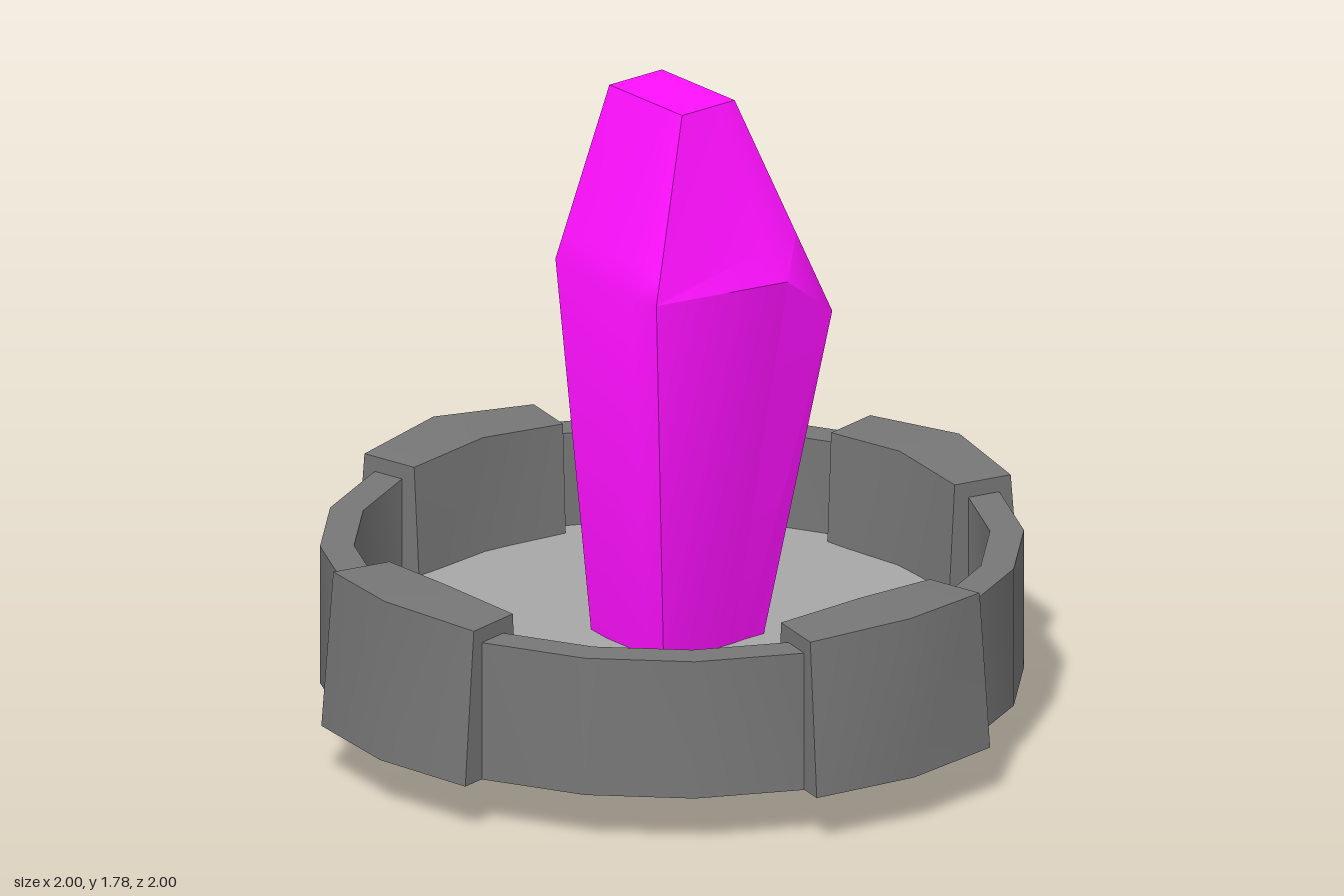
import * as THREE from 'three';
import { toCreasedNormals } from 'three/addons/utils/BufferGeometryUtils.js';

const SIDES = 20;

function part(name, geometry, material, crease = 0.5) {
  const mesh = new THREE.Mesh(toCreasedNormals(geometry, crease), material);
  mesh.name = name;
  return mesh;
}

// Bent, slightly tapered cover that wraps over the ring, facing +z, open below.
function clampGeometry() {
  const geometry = new THREE.BoxGeometry(2, 2, 2, 2, 1, 1);
  const pos = geometry.attributes.position;
  for (let i = 0; i < pos.count; i++) {
    const side = Math.round(pos.getX(i));
    const top = pos.getY(i) > 0;
    const outer = pos.getZ(i) > 0;
    const mid = side === 0;
    const halfWidth = outer ? (top ? 0.29 : 0.297) : (top ? 0.255 : 0.25);
    let depth;
    if (outer) depth = mid ? (top ? 0.985 : 1) : (top ? 0.92 : 0.955);
    else depth = mid ? (top ? 0.78 : 0.768) : (top ? 0.757 : 0.735);
    pos.setXYZ(i, side * halfWidth, top ? (mid ? 0.583 : 0.567) : 0.14, depth);
  }
  const { start, count } = geometry.groups[3]; // underside
  const index = Array.from(geometry.index.array);
  index.splice(start, count);
  geometry.setIndex(index);
  geometry.clearGroups();
  return geometry;
}

// Faceted crystal: square foot, irregular waist, shoulder, narrow flat tip.
function crystalGeometry() {
  // Waist point, then the matching position on a unit square for foot and tip
  const corners = [
    [0.3, 1.18, 0.3, 1, 1], [0.375, 1.18, 0.13, 1, 0.4],
    [0.3, 1.32, -0.2, 1, -0.65], [0.3, 1.32, -0.31, 1, -1],
    [0, 1.18, -0.35, 0, -1], [-0.25, 1.32, -0.18, -1, -1],
    [-0.305, 1.32, 0.2, -1, 0.6], [-0.29, 1.33, 0.285, -1, 1],
    [0.11, 1.32, 0.345, 0.35, 1],
  ];
  const n = corners.length;
  const foot = corners.map(([, , , u, v]) => new THREE.Vector3(u * 0.135, 0, v * 0.135));
  const waist = corners.map(([x, y, z]) => new THREE.Vector3(x, y, z));
  const tip = corners.map(([, , , u, v]) => new THREE.Vector3(u * 0.09, 1.78, v * 0.15));
  const shoulder = waist.map((p, i) => p.clone().lerp(tip[i], (1.4 - p.y) / (1.78 - p.y)));
  shoulder[n - 1].z = 0.28; // the front bulge steps back above the waist

  const points = [...foot, ...waist, ...shoulder, ...tip,
    new THREE.Vector3(0, 0, 0), new THREE.Vector3(0, 1.78, 0)];
  const index = [];
  for (let i = 0; i < n; i++) {
    const j = (i + 1) % n;
    for (let a = 0; a < 3 * n; a += n) {
      index.push(a + i, a + j, a + n + j, a + i, a + n + j, a + n + i);
    }
    index.push(4 * n, j, i, 4 * n + 1, 3 * n + i, 3 * n + j);
  }
  const geometry = new THREE.BufferGeometry().setFromPoints(points);
  geometry.setIndex(index);
  return geometry;
}

export function createModel() {
  const group = new THREE.Group();
  const stone = new THREE.MeshStandardMaterial({ color: 0x777777, side: THREE.DoubleSide });
  const floorStone = new THREE.MeshStandardMaterial({ color: 0xa8a8a8, side: THREE.DoubleSide });
  const magenta = new THREE.MeshStandardMaterial({ color: 0xff10ff });

  // Hollow ring wall, open below
  const profile = [[0.93, 0.14], [0.93, 0.525], [0.84, 0.525], [0.84, 0.14]]
    .map(([r, y]) => new THREE.Vector2(r, y));
  group.add(part('ring', new THREE.LatheGeometry(profile, SIDES), stone));

  // Thin floor inside the ring
  const floor = part('floor', new THREE.CircleGeometry(0.845, SIDES), floorStone);
  floor.rotation.x = -Math.PI / 2;
  floor.position.y = 0.265;
  group.add(floor);

  // Four clamps around the ring
  const clamp = clampGeometry();
  ['frontClamp', 'leftClamp', 'backClamp', 'rightClamp'].forEach((name, i) => {
    const mesh = part(name, clamp, stone);
    mesh.rotation.y = (i * Math.PI) / 2;
    group.add(mesh);
  });

  // Crystal through the floor
  group.add(part('crystal', crystalGeometry(), magenta, 0.7));
  return group;
}
